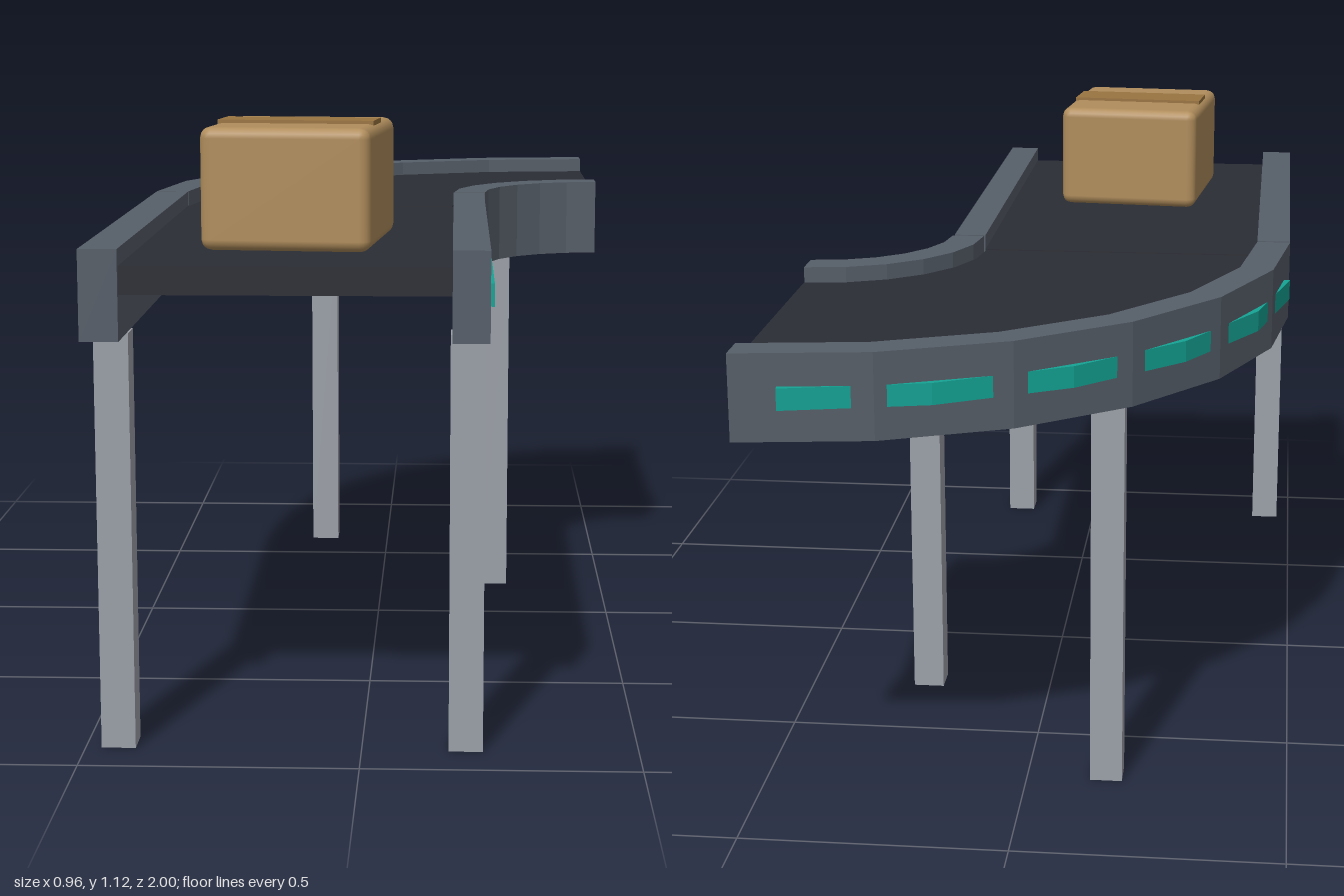
import * as THREE from 'three';
import { RoundedBoxGeometry } from 'three/addons/geometries/RoundedBoxGeometry.js';

const paint = (color) => new THREE.MeshStandardMaterial({ color });

export function createModel() {
  const model = new THREE.Group();
  const frame = paint(0x565e68), rubber = paint(0x2b2d35), steel = paint(0x9ba0a8);
  const teal = paint(0x14a394), cardboard = paint(0xb08d5c), tapeBrown = paint(0x9a7440);

  function add(name, geometry, material, parent = model) {
    const mesh = new THREE.Mesh(geometry, material);
    mesh.name = name;
    parent.add(mesh);
    return mesh;
  }

  // Box given by its minimum and maximum corners
  function block(name, material, [x0, y0, z0], [x1, y1, z1]) {
    const mesh = add(name, new THREE.BoxGeometry(x1 - x0, y1 - y0, z1 - z0), material);
    mesh.position.set((x0 + x1) / 2, (y0 + y1) / 2, (z0 + z1) / 2);
  }

  // Faceted ring sector around the bend centre (x 0.48, z -0.04)
  function bend(name, material, rIn, rOut, y0, y1, segments, from = 0, to = 90) {
    const arc = (r) => Array.from({ length: segments + 1 }, (_, i) => {
      const a = THREE.MathUtils.degToRad(from + (to - from) * i / segments);
      return new THREE.Vector2(0.48 - r * Math.cos(a), 0.04 + r * Math.sin(a));
    });
    const shape = new THREE.Shape([...arc(rOut), ...arc(rIn).reverse()]);
    const geometry = new THREE.ExtrudeGeometry(shape, { depth: y1 - y0, bevelEnabled: false });
    geometry.rotateX(-Math.PI / 2).translate(0, y0, 0);
    add(name, geometry, material);
  }

  // Straight section
  block('straightBelt', rubber, [-0.412, 0.84, -0.03], [0.16, 0.89, 0.99]);
  block('straightOuterRail', frame, [-0.48, 0.76, -0.032], [-0.412, 0.92, 1]);
  block('straightInnerRail', frame, [0.16, 0.76, -0.032], [0.225, 0.92, 1]);
  block('straightLightStrip', teal, [0.22, 0.82, 0], [0.232, 0.86, 0.97]);

  // Curved section
  bend('curvedBelt', rubber, 0.323, 0.887, 0.84, 0.89, 6);
  bend('curvedOuterRail', frame, 0.892, 0.96, 0.76, 0.92, 6);
  bend('curvedInnerRail', frame, 0.252, 0.318, 0.76, 0.92, 6);
  bend('curvedLightStrip', teal, 0.945, 0.965, 0.82, 0.86, 5, 5, 85);

  // Legs
  for (const [x, z] of [[-0.44, 0.875], [0.188, 0.875], [-0.153, -0.67], [0.255, -0.26]]) {
    block('leg', steel, [x - 0.031, 0, z - 0.031], [x + 0.031, 0.76, z + 0.031]);
  }

  // Parcel, turned slightly on the belt
  const parcel = new THREE.Group();
  parcel.name = 'parcel';
  parcel.position.set(-0.125, 0.89, 0.615);
  parcel.rotation.y = -0.1;
  model.add(parcel);
  add('carton', new RoundedBoxGeometry(0.31, 0.222, 0.35, 2, 0.02), cardboard, parcel).position.y = 0.111;
  add('tape', new THREE.BoxGeometry(0.29, 0.012, 0.1), tapeBrown, parcel).position.y = 0.222;

  return model;
}
